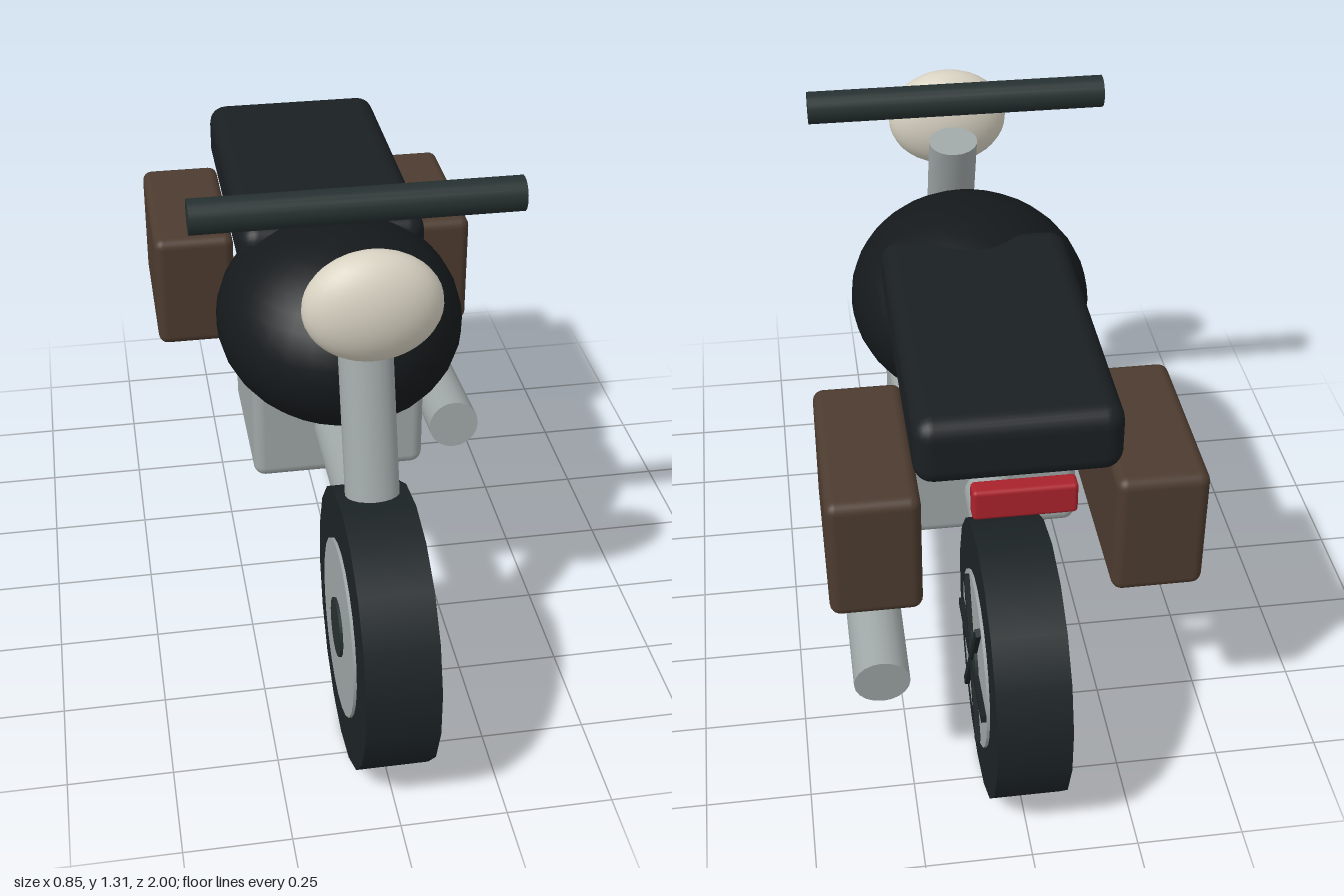
import * as THREE from 'three';
import { RoundedBoxGeometry } from 'three/addons/geometries/RoundedBoxGeometry.js';

const mat = (color) => new THREE.MeshStandardMaterial({ color });
const metal = mat(0x9fa6a6);
const rubber = mat(0x1c2325);
const darkMetal = mat(0x263030);
const paint = mat(0x15191b);
const vinyl = mat(0x1a1f22);
const leather = mat(0x4c3b2f);
const cream = mat(0xd8d2c2);
const red = mat(0xaa222c);

export function createModel() {
  const model = new THREE.Group();
  model.name = 'motorcycle';

  const add = (name, geometry, material, x = 0, y = 0, z = 0, parent = model) => {
    const mesh = new THREE.Mesh(geometry, material);
    mesh.name = name;
    mesh.position.set(x, y, z);
    parent.add(mesh);
    return mesh;
  };

  // Rounded box centred on a point
  const box = (name, material, size, pos, radius) =>
    add(name, new RoundedBoxGeometry(...size, 3, radius), material, ...pos);

  // Sphere stretched to three radii
  const ellipsoid = (name, material, radii, pos) =>
    add(name, new THREE.SphereGeometry(1, 32, 20).scale(...radii), material, ...pos);

  // Cylinder between two points
  const tube = (name, material, from, to, radius) => {
    const a = new THREE.Vector3(...from);
    const b = new THREE.Vector3(...to);
    const dir = b.clone().sub(a);
    const mid = a.clone().add(b).multiplyScalar(0.5);
    const mesh = add(name, new THREE.CylinderGeometry(radius, radius, dir.length(), 20), material, ...mid);
    mesh.quaternion.setFromUnitVectors(new THREE.Vector3(0, 1, 0), dir.normalize());
    return mesh;
  };

  // Disc whose axle runs along x, with a corner at the top
  const disc = (radius, width, sides) =>
    new THREE.CylinderGeometry(radius, radius, width, sides, 1, false, Math.PI / 2).rotateZ(Math.PI / 2);

  // Wheels: tyre, rim plate, hub, and spokes on the left face
  for (const [name, z] of [['frontWheel', 0.675], ['rearWheel', -0.675]]) {
    const wheel = new THREE.Group();
    wheel.name = name;
    wheel.position.set(0, 0.33, z);
    model.add(wheel);
    add('tyre', disc(0.33, 0.17, 18), rubber, 0, 0, 0, wheel);
    add('rim', disc(0.21, 0.184, 24), metal, 0, 0, 0, wheel);
    add('hub', disc(0.07, 0.198, 16), darkMetal, 0, 0, 0, wheel);
    for (let i = 0; i < 3; i++) {
      const spoke = add('spoke', new THREE.BoxGeometry(0.018, 0.02, 0.4), rubber, 0.095, 0, 0, wheel);
      spoke.rotation.x = (i * Math.PI) / 3;
    }
  }

  // Frame, fork and steering
  tube('frameTube', metal, [0, 0.545, 0.58], [0, 0.497, -0.62], 0.065);
  tube('fork', metal, [0, 0.33, 0.695], [0, 1.118, 0.433], 0.051).scale.x = 1.25;
  tube('handlebar', darkMetal, [-0.378, 1.27, 0.367], [0.378, 1.27, 0.367], 0.041);
  ellipsoid('headlight', cream, [0.157, 0.132, 0.082], [0, 1.125, 0.564]);

  // Body
  box('engine', metal, [0.44, 0.335, 0.415], [0, 0.552, -0.072], 0.03);
  ellipsoid('fuelTank', paint, [0.302, 0.241, 0.34], [0, 0.845, 0.113]);
  box('seat', vinyl, [0.46, 0.165, 0.8], [0, 0.979, -0.34], 0.045);
  tube('exhaust', metal, [0.318, 0.447, 0.06], [0.318, 0.372, -0.77], 0.065);
  box('tailLight', red, [0.228, 0.076, 0.046], [0, 0.893, -0.782], 0.01);

  // Saddlebags on both sides
  for (const side of [1, -1]) {
    box(side > 0 ? 'leftSaddlebag' : 'rightSaddlebag', leather,
      [0.21, 0.315, 0.458], [side * 0.32, 0.712, -0.512], 0.025);
  }
  return model;
}
